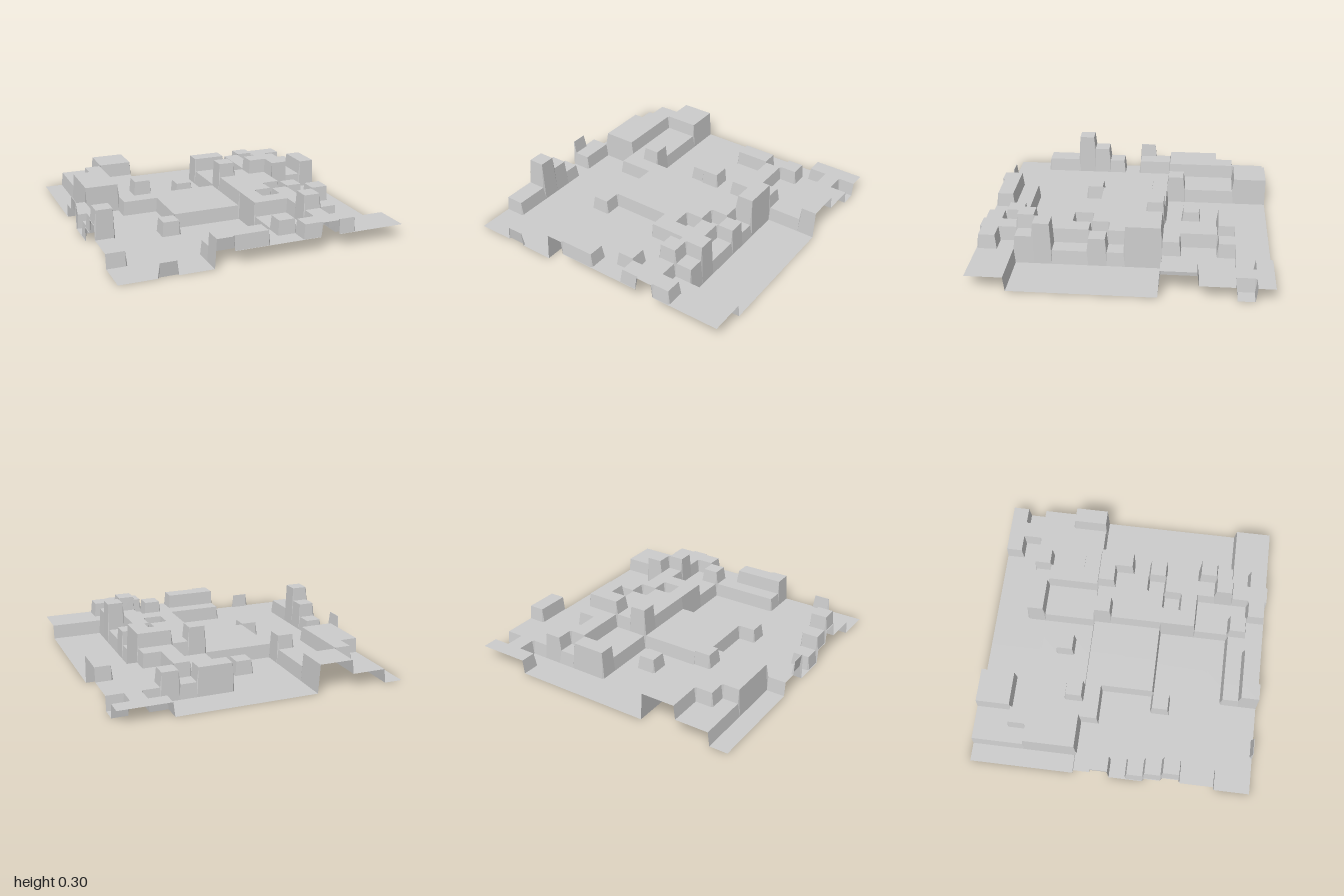
import * as THREE from 'three';

// Height level of every square, back row first; each level is 0.1 high.
// The first column and the last row are the thin rims of the sheet.
const LEVELS = [
  '00112200000000111',
  '00112200000000010',
  '00121100002212111',
  '00221100001121111',
  '00221100101121112',
  '00221200001122112',
  '11001111113233000',
  '21000011112223000',
  '00000011112221000',
  '01000011112212000',
  '12000100002121000',
  '23000000002221000',
  '11000000001123000',
  '11000000001132000',
  '00000011112121111',
  '00000022211222111',
  '00010021111121111',
];
const STEP = 0.1;
const WALL = 0.006; // half the width of a sloping wall

// Start and end of every square along one axis
function spans(firstEdge, pitch) {
  const n = LEVELS.length;
  const out = [];
  for (let i = 0; i < n; i++) {
    out.push(i === 0 ? -1 : firstEdge + pitch * (i - 1) + WALL);
    out.push(i === n - 1 ? 1 : firstEdge + pitch * i - WALL);
  }
  return out;
}

export function createModel() {
  const group = new THREE.Group();
  group.name = 'steppedTerrain';

  const xs = spans(-0.99, 0.125);
  const zs = spans(-0.88, 0.1247);

  // Sheet whose squares are lifted to their level, with steep walls between
  let sheet = new THREE.PlaneGeometry(2, 2, xs.length - 1, zs.length - 1);
  const pos = sheet.attributes.position;
  for (let r = 0; r < zs.length; r++) {
    for (let c = 0; c < xs.length; c++) {
      const level = Number(LEVELS[r >> 1][c >> 1]);
      pos.setXYZ(r * xs.length + c, xs[c], level * STEP, zs[r]);
    }
  }
  sheet = sheet.toNonIndexed();
  sheet.computeVertexNormals();

  const material = new THREE.MeshStandardMaterial({
    color: 0xcccccc, flatShading: true, side: THREE.DoubleSide,
  });
  const terrain = new THREE.Mesh(sheet, material);
  terrain.name = 'terrainSheet';
  group.add(terrain);
  return group;
}
